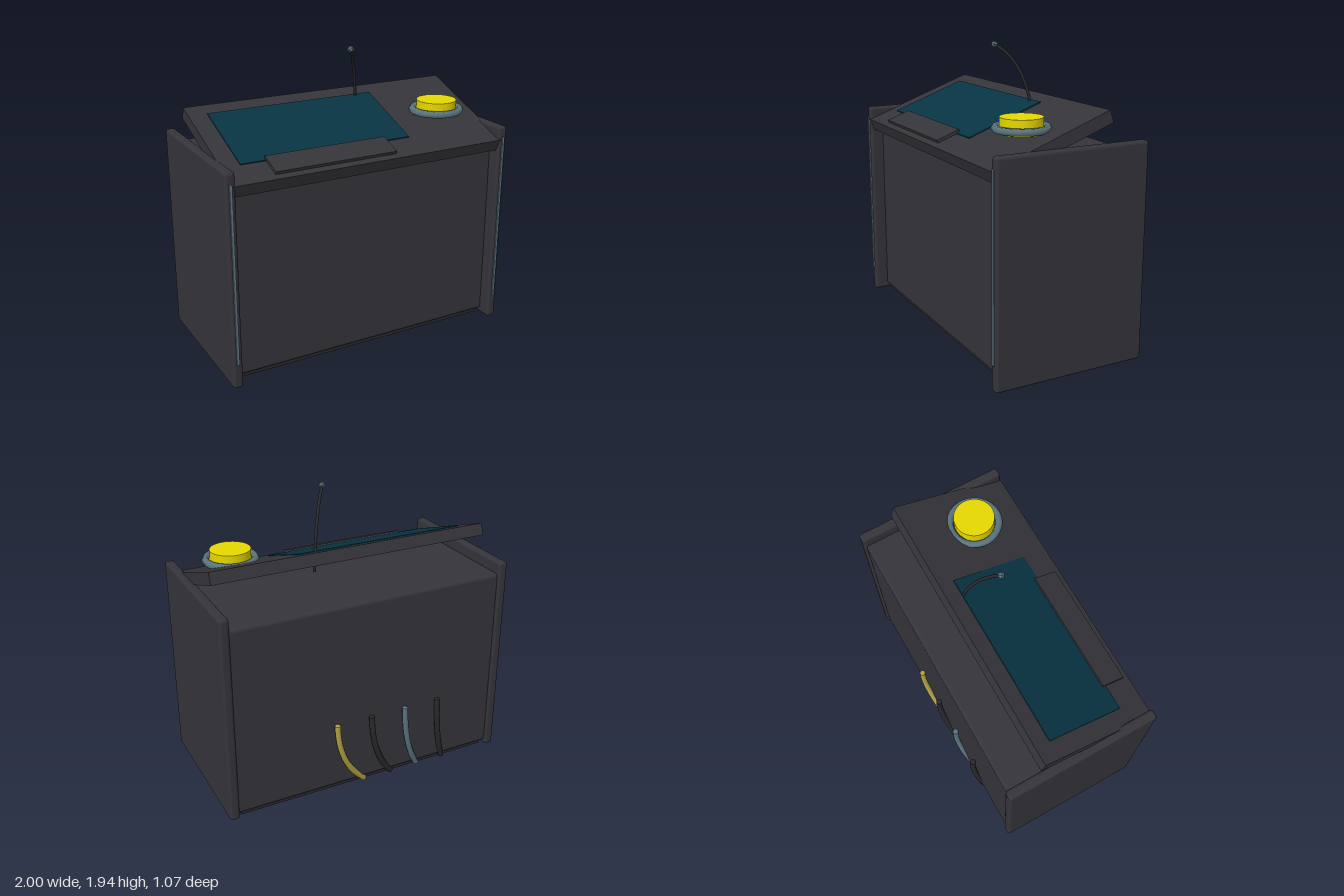
import * as THREE from 'three';
import { RoundedBoxGeometry } from 'three/addons/geometries/RoundedBoxGeometry.js';

const mat = (name, color) => Object.assign(new THREE.MeshStandardMaterial({ color }), { name });

export function createModel() {
  const root = new THREE.Group();
  root.name = 'controlDesk';
  const charcoal = mat('charcoal', 0x34343a);
  const darkTop = mat('darkTop', 0x353439);
  const black = mat('rubberBlack', 0x29292d);
  const teal = mat('screenTeal', 0x083443);
  const steel = mat('steelBlue', 0x5c7680);
  const yellow = mat('buttonYellow', 0xe6d800);
  const brass = mat('cableYellow', 0xb3a245);

  const add = (name, geo, material, x = 0, y = 0, z = 0, parent = root) => {
    const m = new THREE.Mesh(geo, material);
    m.name = name;
    m.position.set(x, y, z);
    parent.add(m);
    return m;
  };
  const box = (w, h, d) => new THREE.BoxGeometry(w, h, d);

  // Cabinet, set back under the desktop, and plinth
  add('cabinet', new RoundedBoxGeometry(1.9, 1.29, 0.927, 4, 0.025), charcoal, 0, 0.685, -0.029);
  add('plinth', box(1.83, 0.05, 0.87), black, 0, 0.035, -0.03);

  // Side panels with front light strips
  for (const s of [-1, 1]) {
    const side = s > 0 ? 'left' : 'right';
    add(side + 'Panel', new RoundedBoxGeometry(0.065, 1.4, 1.03, 4, 0.02), charcoal, s * 0.9675, 0.71, 0.007);
    add(side + 'LightStrip', box(0.016, 1.16, 0.014), steel, s * 0.968, 0.76, 0.524);
  }

  // Tilted desktop with screen and ledge
  const desktop = new THREE.Group();
  desktop.name = 'desktop';
  desktop.position.set(0, 1.427, 0.121);
  desktop.rotation.x = THREE.MathUtils.degToRad(20);
  root.add(desktop);
  add('desktopSlab', box(1.91, 0.08, 0.825), darkTop, 0, 0, 0.003, desktop);
  add('screen', box(1.17, 0.009, 0.54), teal, -0.25, 0.0425, -0.036, desktop);
  add('ledge', box(0.83, 0.022, 0.163), darkTop, -0.255, 0.049, 0.29, desktop);

  // Push button and its faceted collar
  add('button', new THREE.CylinderGeometry(0.132, 0.132, 0.1, 40), yellow, 0.665, 1.507, 0.175);
  const collar = add('buttonCollar', new THREE.TorusGeometry(0.158, 0.024, 6, 40), steel, 0.665, 1.49, 0.175);
  collar.rotation.x = Math.PI / 2;

  // Gooseneck microphone
  const neck = new THREE.QuadraticBezierCurve3(
    new THREE.Vector3(0.235, 1.44, -0.157),
    new THREE.Vector3(0.205, 1.82, -0.125),
    new THREE.Vector3(0.08, 1.925, 0.043));
  add('microphoneNeck', new THREE.TubeGeometry(neck, 32, 0.01, 8), black);
  add('microphoneHead', new THREE.IcosahedronGeometry(0.024, 0), steel, 0.08, 1.925, 0.043);

  // Cables hanging on the back, capped at the upper end
  [brass, black, steel, black].forEach((material, i) => {
    const x = 0.25 - i * 0.25, end = 0.035 - i * 0.205;
    const path = new THREE.QuadraticBezierCurve3(
      new THREE.Vector3(x, 0.51, -0.513),
      new THREE.Vector3(x, 0.22, -0.525),
      new THREE.Vector3(end, 0.02, -0.478));
    add('cable' + (i + 1), new THREE.TubeGeometry(path, 24, 0.02, 8), material);
    const cap = add('cableCap' + (i + 1), new THREE.CircleGeometry(0.02, 8), material, x, 0.51, -0.513);
    cap.rotation.x = -Math.PI / 2;
  });

  return root;
}
